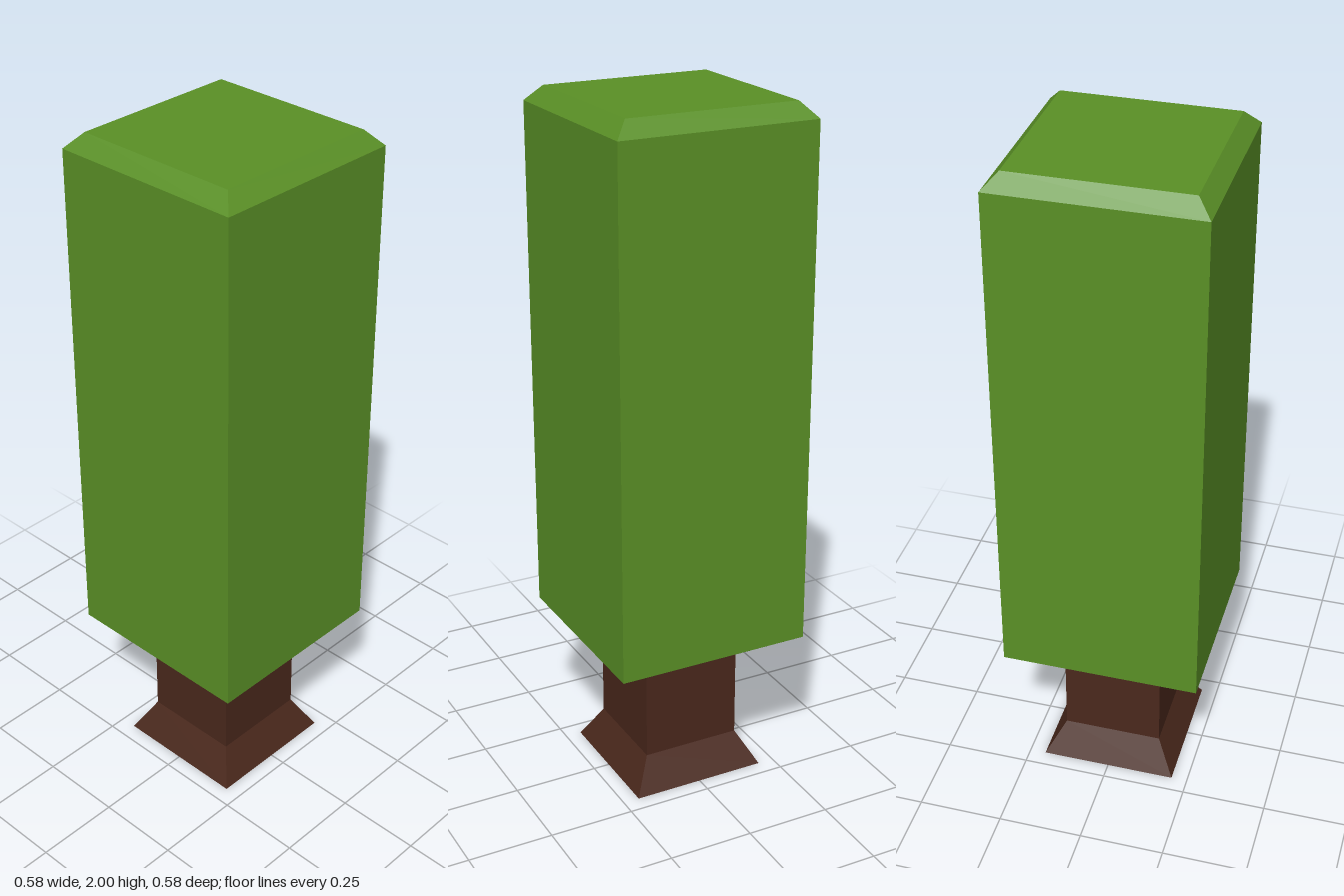
import * as THREE from 'three';

// Square-section solid from [half width, height] pairs, listed bottom to top
function squareProfile(name, profile, color) {
  const points = profile.map(([half, y]) => new THREE.Vector2(half * Math.SQRT2, y));
  const geometry = new THREE.LatheGeometry(points, 4, Math.PI / 4).toNonIndexed();
  geometry.computeVertexNormals();
  const material = new THREE.MeshStandardMaterial({ color, flatShading: true, side: THREE.DoubleSide });
  const mesh = new THREE.Mesh(geometry, material);
  mesh.name = name;
  return mesh;
}

export function createModel() {
  const tree = new THREE.Group();
  tree.name = 'tree';

  // Trunk: open underneath, flared at the foot
  tree.add(squareProfile('trunk', [[0.202, 0], [0.147, 0.1], [0.147, 0.36]], 0x4a281c));

  // Foliage: tapered underside, tall block, chamfered flat top
  tree.add(squareProfile('foliage', [
    [0.147, 0.36], [0.289, 0.453], [0.289, 1.956], [0.248, 2], [0, 2],
  ], 0x5a9026));

  return tree;
}
